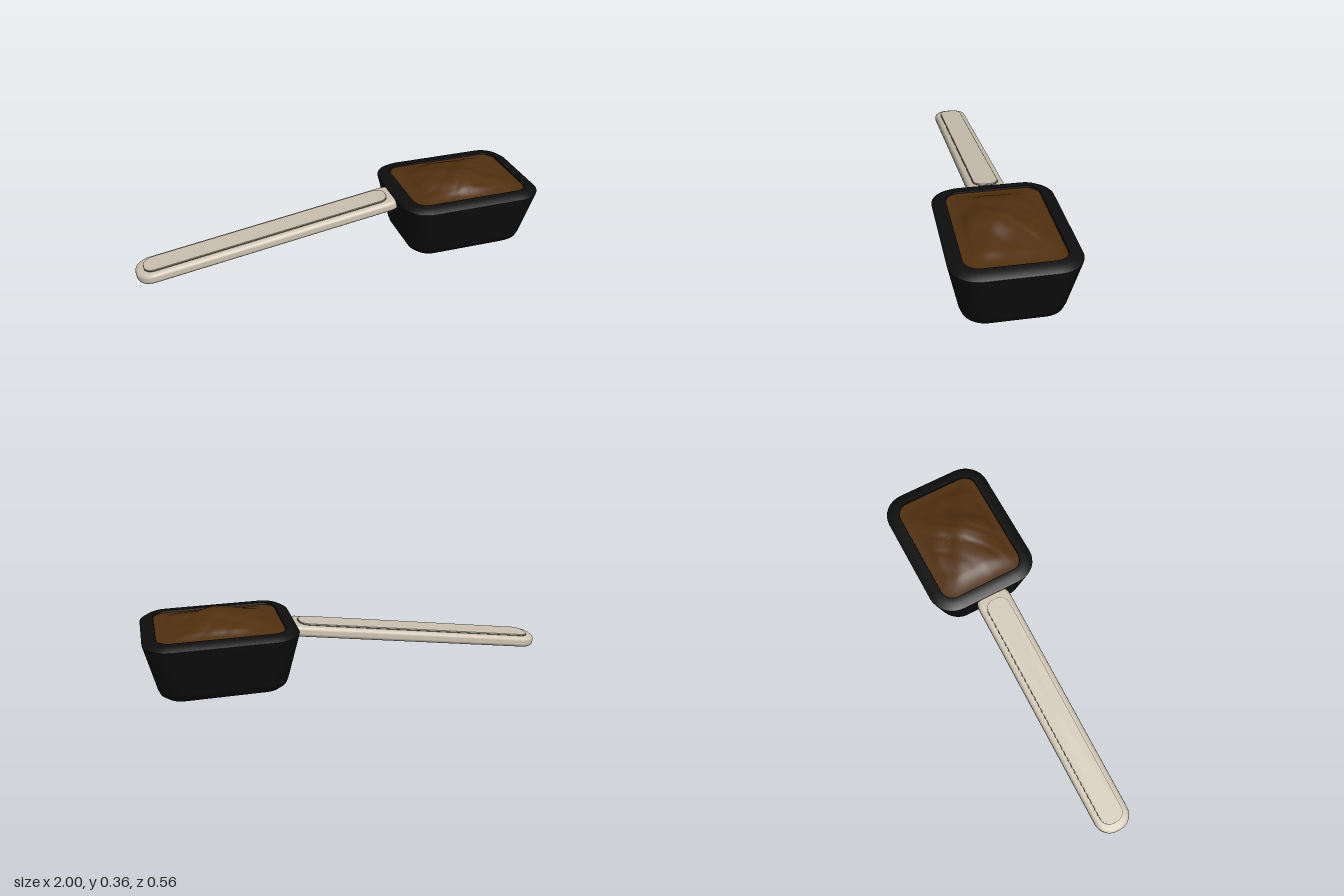
import * as THREE from 'three';
import { toCreasedNormals } from 'three/addons/utils/BufferGeometryUtils.js';

// Rounded-rectangle outline in x/z
function outline(hx, hz, r, perCorner = 8) {
  const pts = [];
  const corners = [[1, 1], [-1, 1], [-1, -1], [1, -1]];
  corners.forEach(([sx, sz], c) => {
    for (let i = 0; i <= perCorner; i++) {
      const a = (c + i / perCorner) * Math.PI / 2;
      pts.push([sx * (hx - r) + r * Math.cos(a), sz * (hz - r) + r * Math.sin(a)]);
    }
  });
  return pts;
}

// Skins stacked outlines, listed from the bottom upward, with smooth or creased edges
function skin(rings, crease) {
  const n = rings[0].length, pos = [], idx = [];
  rings.forEach(ring => ring.forEach(p => pos.push(...p)));
  for (let k = 0; k < rings.length - 1; k++) {
    for (let i = 0; i < n; i++) {
      const a = k * n + i, b = k * n + (i + 1) % n;
      idx.push(a, a + n, b, b, a + n, b + n);
    }
  }
  const geo = new THREE.BufferGeometry();
  geo.setAttribute('position', new THREE.Float32BufferAttribute(pos, 3));
  geo.setIndex(idx);
  return toCreasedNormals(geo, crease);
}

// Each level is [y, half length, half width, corner radius]
function loft(levels, crease = 0.6) {
  return skin(levels.map(([y, hx, hz, r]) => outline(hx, hz, r).map(([x, z]) => [x, y, z])), crease);
}

// Height of the heaped grounds, t = 1 at the edge and 0 in the middle
function heapHeight(x, z, t) {
  const bump = (cx, cz, w, h) => h * Math.exp(-((x - cx) ** 2 + (z - cz) ** 2) / (w * w));
  const fade = Math.min(1, (1 - t) * 3.5);
  const peaks = bump(0, 0.05, 0.11, 0.036) + bump(-0.17, -0.02, 0.1, 0.016) + bump(0.03, -0.12, 0.09, 0.012);
  const ripple = 0.0025 * Math.sin(31 * x + 17 * z) + 0.002 * Math.sin(47 * z - 23 * x + 1)
    - 0.003 * Math.pow(Math.abs(Math.sin(14 * x + 25 * z + 2 * Math.sin(9 * x))), 6);
  return 0.291 + fade * (0.0335 * (1 - t * t) + peaks * 0.95 + ripple);
}

export function createModel() {
  const group = new THREE.Group();
  const black = new THREE.MeshStandardMaterial({ color: 0x0e0e0e });
  black.name = 'black plastic';
  const cream = new THREE.MeshStandardMaterial({ color: 0xcdc2b2 });
  cream.name = 'cream grip';
  const line = new THREE.MeshStandardMaterial({ color: 0x5e564b });
  line.name = 'dark seam';
  const brown = new THREE.MeshStandardMaterial({ color: 0x51300f });
  brown.name = 'brown grounds';

  const add = (parent, name, geo, mat) => {
    const mesh = new THREE.Mesh(geo, mat);
    mesh.name = name;
    parent.add(mesh);
    return mesh;
  };

  // Tapered cup with bevelled rim, hollow inside
  const cup = add(group, 'cup', loft([
    [0, 0, 0, 0],
    [0, 0.27, 0.195, 0.08],
    [0.022, 0.297, 0.22, 0.1],
    [0.05, 0.308, 0.231, 0.11],
    [0.28, 0.36, 0.28, 0.125],
    [0.3, 0.33, 0.25, 0.1],
    [0.3, 0.297, 0.217, 0.065],
    [0.24, 0.285, 0.205, 0.06],
    [0.05, 0.25, 0.17, 0.05],
    [0.05, 0, 0, 0],
  ]), black);
  cup.position.x = 0.64;

  // Uneven heap filling the cup
  const edge = outline(0.296, 0.216, 0.065, 14);
  const fine = [];
  edge.forEach(([x, z], i) => {
    const [nx, nz] = edge[(i + 1) % edge.length];
    const steps = Math.max(1, Math.round(Math.hypot(nx - x, nz - z) / 0.02));
    for (let s = 0; s < steps; s++) fine.push([x + (nx - x) * s / steps, z + (nz - z) * s / steps]);
  });
  const heapRings = [];
  for (let k = 0; k <= 24; k++) {
    const t = 1 - k / 24;
    heapRings.push(fine.map(([x, z]) => [x * t, heapHeight(x * t, z * t, t), z * t]));
  }
  const heap = add(group, 'heapedGrounds', skin(heapRings, 0.7), brown);
  heap.position.x = 0.64;

  // Sloping handle: flat underside, softly rounded upper edges
  const handle = new THREE.Group();
  handle.name = 'handle';
  handle.position.set(-0.333, 0.153, 0);
  handle.rotation.z = 0.151;
  group.add(handle);
  add(handle, 'handleBody', loft([
    [-0.027, 0, 0, 0],
    [-0.027, 0.658, 0.076, 0.066],
    [-0.021, 0.666, 0.084, 0.074],
    [-0.01, 0.67, 0.088, 0.078],
    [0.008, 0.67, 0.088, 0.078],
    [0.018, 0.666, 0.084, 0.074],
    [0.024, 0.658, 0.076, 0.066],
    [0.026, 0.648, 0.066, 0.056],
    [0.026, 0, 0, 0],
  ]), cream);

  // Raised grip panel framed by a thin seam
  const plate = (hx, hz, r, y0, y1) => loft([[y0, hx, hz, r], [y1, hx, hz, r], [y1, 0, 0, 0]]);
  const seam = add(handle, 'gripSeam', plate(0.615, 0.06, 0.05, 0.024, 0.0285), line);
  const panel = add(handle, 'gripPanel', plate(0.612, 0.057, 0.047, 0.026, 0.033), cream);
  seam.position.x = panel.position.x = -0.014;

  return group;
}
